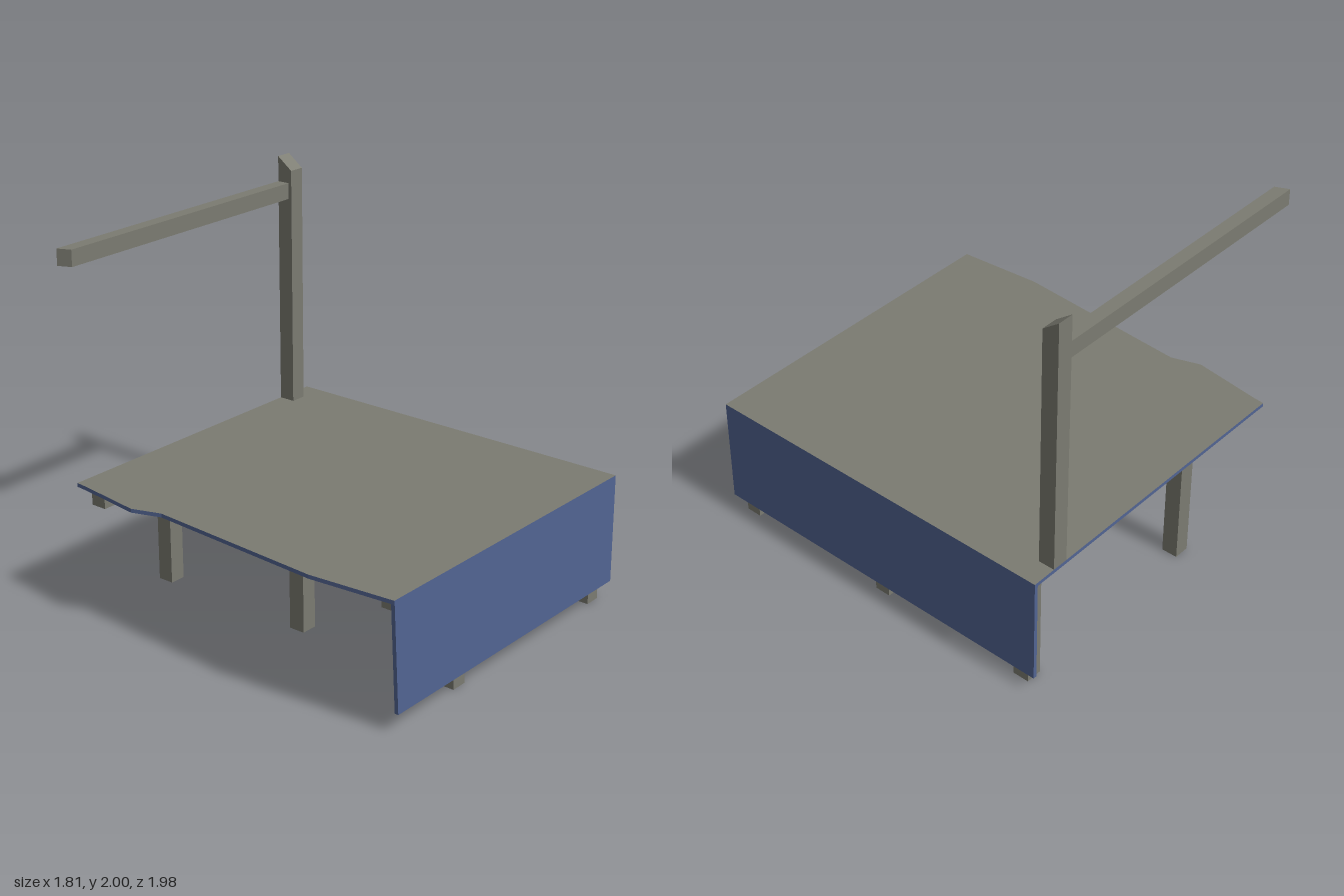
import * as THREE from 'three';

const wood = new THREE.MeshStandardMaterial({ color: 0x7b7b71 });
wood.name = 'weatheredGrey';
const cloth = new THREE.MeshStandardMaterial({ color: 0x526492 });
cloth.name = 'blueCladding';

export function createModel() {
  const group = new THREE.Group();

  const add = (name, geometry, material) => {
    const mesh = new THREE.Mesh(geometry, material);
    mesh.name = name;
    group.add(mesh);
    return mesh;
  };

  // Box given by its minimum and maximum corners
  const box = (name, [x0, y0, z0], [x1, y1, z1], material) => {
    const g = new THREE.BoxGeometry(x1 - x0, y1 - y0, z1 - z0);
    g.translate((x0 + x1) / 2, (y0 + y1) / 2, (z0 + z1) / 2);
    return add(name, g, material);
  };

  const prism = (points, depth) => new THREE.ExtrudeGeometry(
    new THREE.Shape(points.map(([x, y]) => new THREE.Vector2(x, y))),
    { depth, bevelEnabled: false });

  // Outline in x and z, extruded downward from the given top height
  const slab = (points, top, depth) =>
    prism(points, depth).rotateX(Math.PI / 2).translate(0, top, 0);

  // Deck with one broken edge; grey faces and a blue rim
  add('deck', slab([
    [0.9, -0.99], [0.9, 0.99], [-0.873, 0.99], [-0.908, 0.54],
    [-0.84, -0.42], [-0.89, -0.57], [-0.84, -0.92], [-0.833, -0.99],
  ], 0.668, 0.02), [wood, cloth]);

  // Cladding on the front and the left side
  add('frontPanel', prism([
    [-0.836, 0.095], [0.9, 0.095], [0.9, 0.648], [-0.87, 0.648],
  ], 0.02).translate(0, 0, 0.97), cloth);
  box('sidePanel', [0.88, 0.095, -0.99], [0.9, 0.648, 0.97], cloth);

  // Legs in two rows, a beam across each pair
  const half = 0.043, beamLow = 0.563, beamTop = 0.648;
  const legXs = [-0.317, 0.815];
  const rows = [[0.9, -0.79], [0, -0.7], [-0.878, -0.805]];
  for (const [z, end] of rows) {
    for (const x of legXs) {
      box('leg', [x - half, 0, z - half], [x + half, beamTop, z + half], wood);
    }
    const [xa, xb] = legXs;
    box('beamEnd', [end, beamLow, z - half], [xa - half, beamTop, z + half], wood);
    box('beam', [xa + half, beamLow, z - half], [xb - half, beamTop, z + half], wood);
  }

  // Joists running front to back between the legs
  for (const x of legXs) {
    for (let i = 0; i < 2; i++) {
      box('joist', [x - half, beamLow, rows[i + 1][0] + half],
        [x + half, beamTop, rows[i][0] - half], wood);
    }
  }

  // Railing post with a slanted top
  add('railingPost', prism([
    [0.903, 0.668], [0.99, 0.668], [0.99, 2], [0.903, 1.935],
  ], 0.086).rotateY(Math.PI / 2).translate(0.683, 0, 0), wood);

  // Handrail, broken off at an angle
  add('handrail', slab([
    [0.683, -0.99], [0.683, -0.922], [-0.86, -0.922], [-0.89, -0.99],
  ], 1.867, 0.084), wood);

  return group;
}
